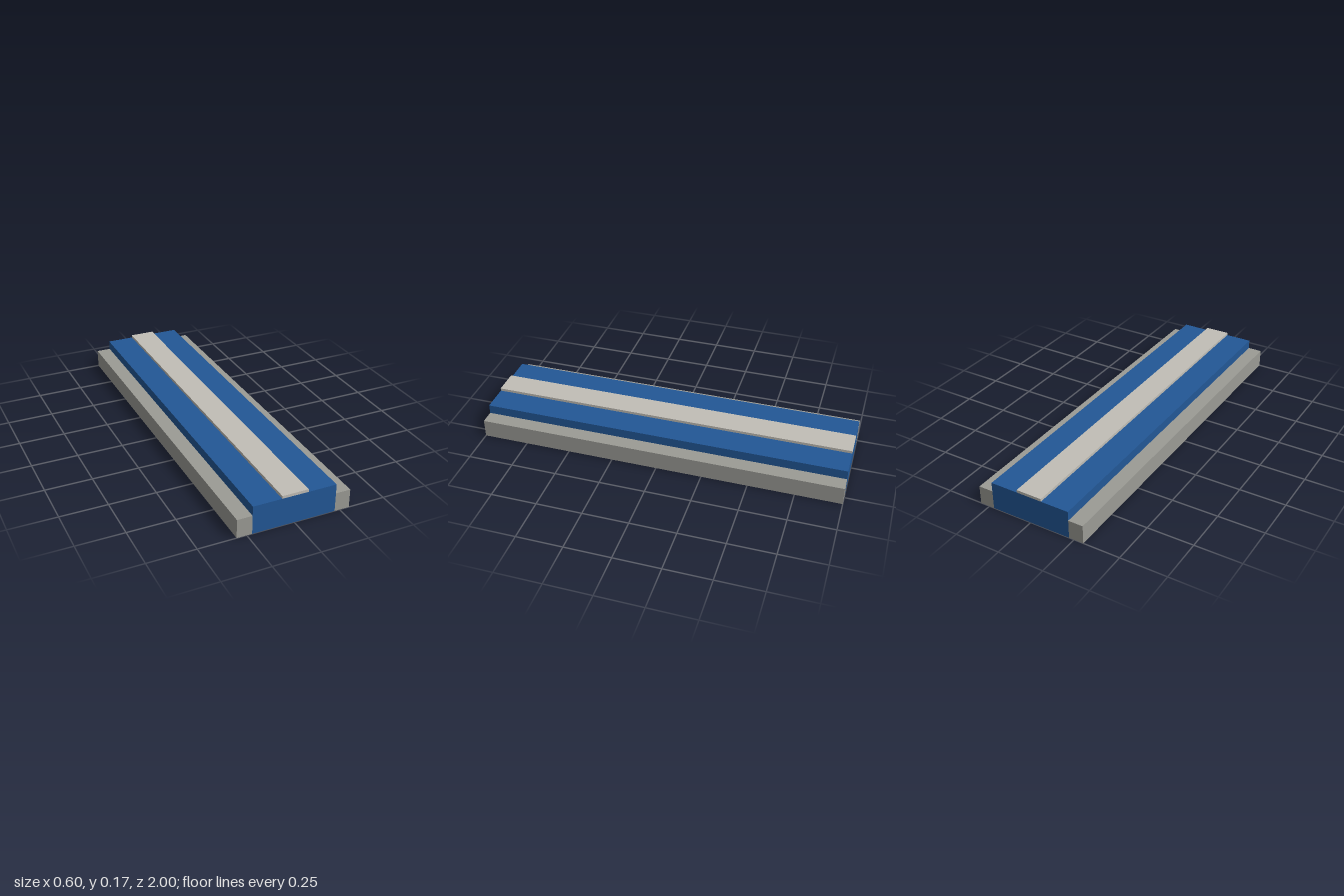
import * as THREE from 'three';

const LENGTH = 2;

// Full-length bar given by its x range and y range
function bar(name, x0, x1, y0, y1, color) {
  const mesh = new THREE.Mesh(
    new THREE.BoxGeometry(x1 - x0, y1 - y0, LENGTH),
    new THREE.MeshStandardMaterial({ color })
  );
  mesh.name = name;
  mesh.position.set((x0 + x1) / 2, (y0 + y1) / 2, 0);
  return mesh;
}

export function createModel() {
  const model = new THREE.Group();
  model.name = 'stripedSlab';

  const core = 0.222, edge = 0.302, stripe = 0.07;
  const railTop = 0.101, coreTop = 0.152, stripeTop = 0.167;

  // Low grey ledges along both sides of the raised core
  model.add(bar('leftLedge', core, edge, 0, railTop, 0x9b9b95));
  model.add(bar('rightLedge', -edge, -core, 0, railTop, 0x9b9b95));

  // Raised blue core
  model.add(bar('core', -core, core, 0, coreTop, 0x225796));

  // Thin pale strip along the middle of the top
  model.add(bar('centerStrip', -stripe, stripe, coreTop, stripeTop, 0xc1beb6));

  return model;
}
